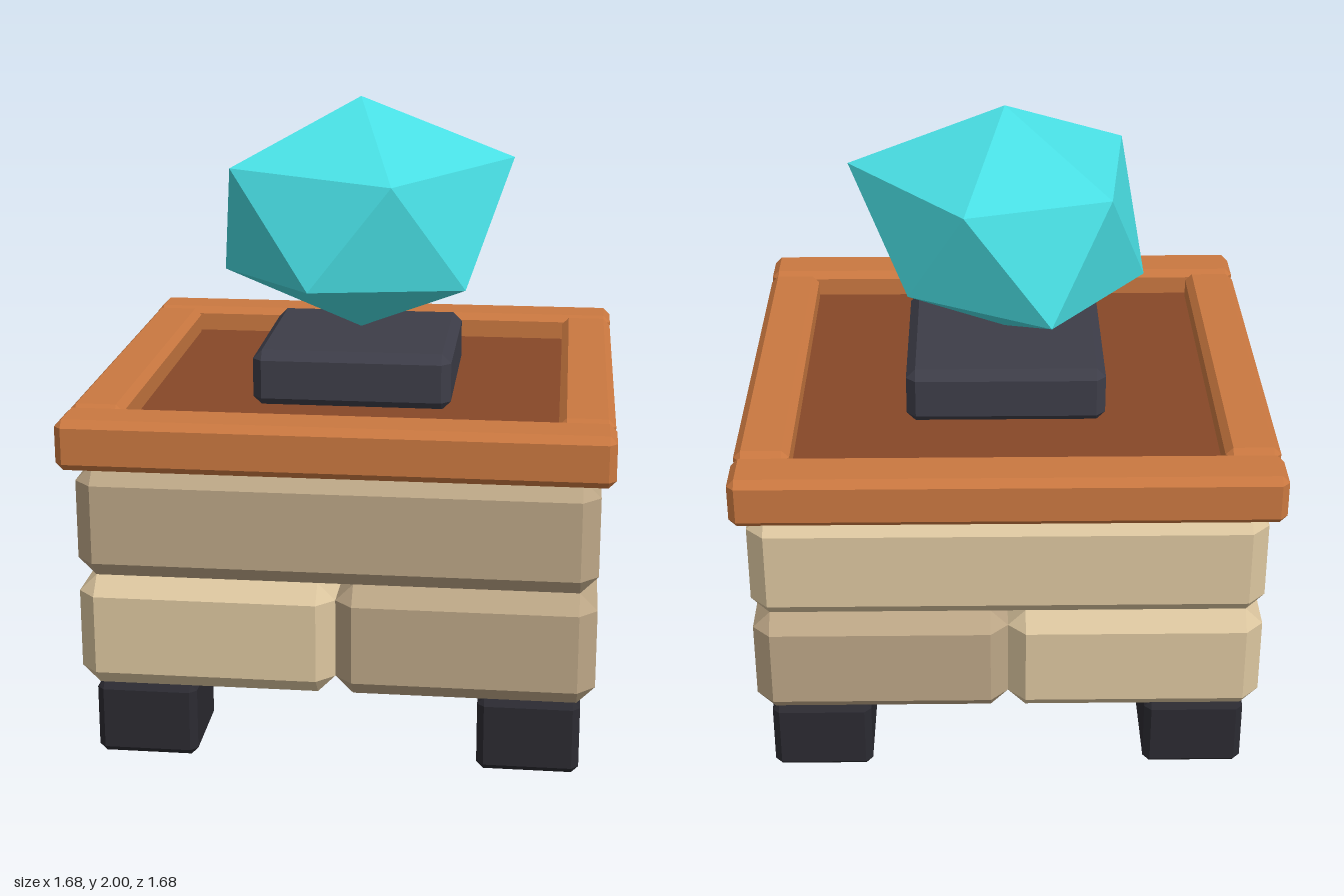
import * as THREE from 'three';
import { ConvexGeometry } from 'three/addons/geometries/ConvexGeometry.js';

const paint = (color) => new THREE.MeshStandardMaterial({ color });

// Box with every edge bevelled, given by its extents on each axis
function bevelledBox(name, [x0, x1], [y0, y1], [z0, z1], bevel, material) {
  const half = [(x1 - x0) / 2, (y1 - y0) / 2, (z1 - z0) / 2];
  const points = [];
  for (const sx of [-1, 1]) for (const sy of [-1, 1]) for (const sz of [-1, 1]) {
    for (let axis = 0; axis < 3; axis++) {
      const inset = half.map((h, i) => (i === axis ? h : h - bevel));
      points.push(new THREE.Vector3(sx * inset[0], sy * inset[1], sz * inset[2]));
    }
  }
  const mesh = new THREE.Mesh(new ConvexGeometry(points), material);
  mesh.name = name;
  mesh.position.set((x0 + x1) / 2, (y0 + y1) / 2, (z0 + z1) / 2);
  return mesh;
}

// Irregular twenty-sided gem: two tips and two staggered rings of five
function gemGeometry() {
  const top = [0, 2, 0], bottom = [0, 1.235, 0];
  const upper = [[0.5, 1.81, 0], [0.13, 1.76, 0.345], [-0.39, 1.8, 0.265], [-0.33, 1.77, -0.235], [0.13, 1.77, -0.37]];
  const lower = [[0.36, 1.42, 0.25], [-0.13, 1.43, 0.385], [-0.455, 1.42, 0], [-0.14, 1.42, -0.415], [0.31, 1.445, -0.225]];
  const corners = [];
  for (let i = 0; i < 5; i++) {
    const j = (i + 1) % 5;
    corners.push(
      top, upper[j], upper[i],
      upper[i], upper[j], lower[i],
      lower[i], upper[j], lower[j],
      bottom, lower[i], lower[j],
    );
  }
  const geometry = new THREE.BufferGeometry();
  geometry.setAttribute('position', new THREE.Float32BufferAttribute(corners.flat(), 3));
  geometry.computeVertexNormals();
  return geometry;
}

export function createModel() {
  const model = new THREE.Group();
  model.name = 'gemPedestal';
  const lightStone = paint(0xdcc69f), darkStone = paint(0xbca686);
  const wood = paint(0xca7840), darkWood = paint(0x874828);
  const black = paint(0x2b2a31), slate = paint(0x3d3d48);
  const add = (...args) => model.add(bevelledBox(...args));

  // Feet
  for (const sx of [-1, 1]) for (const sz of [-1, 1]) {
    const span = (s) => (s > 0 ? [0.44, 0.757] : [-0.757, -0.44]);
    add('foot', span(sx), [0.005, 0.245], span(sz), 0.022, black);
  }

  // Two courses of stone, split in opposite directions
  const full = [-0.8, 0.8], low = [0.245, 0.605], high = [0.605, 0.965];
  add('lowerRightStone', [-0.8, 0], low, full, 0.055, lightStone);
  add('lowerLeftStone', [0, 0.8], low, full, 0.055, darkStone);
  add('upperFrontStone', full, high, [-0.16, 0.8], 0.055, darkStone);
  add('upperBackStone', full, high, [-0.8, -0.16], 0.055, lightStone);

  // Wooden tray: recessed panel and four rails
  const panel = new THREE.Mesh(new THREE.BoxGeometry(1.4, 0.075, 1.4), darkWood);
  panel.name = 'trayPanel';
  panel.position.y = 1.0025;
  model.add(panel);
  const rail = [0.965, 1.125];
  for (const s of [-1, 1]) {
    const span = (a, b) => (s > 0 ? [a, b] : [-b, -a]);
    add(s > 0 ? 'frontRail' : 'backRail', [-0.84, 0.84], rail, span(0.667, 0.838), 0.023, wood);
    add(s > 0 ? 'leftRail' : 'rightRail', span(0.667, 0.838), rail, [-0.665, 0.665], 0.023, wood);
  }

  // Plate and floating gem
  add('plate', [-0.32, 0.32], [1.035, 1.22], [-0.32, 0.32], 0.03, slate);
  const gem = new THREE.Mesh(gemGeometry(), paint(0x48dde2));
  gem.name = 'gem';
  gem.material.flatShading = true;
  model.add(gem);

  return model;
}
